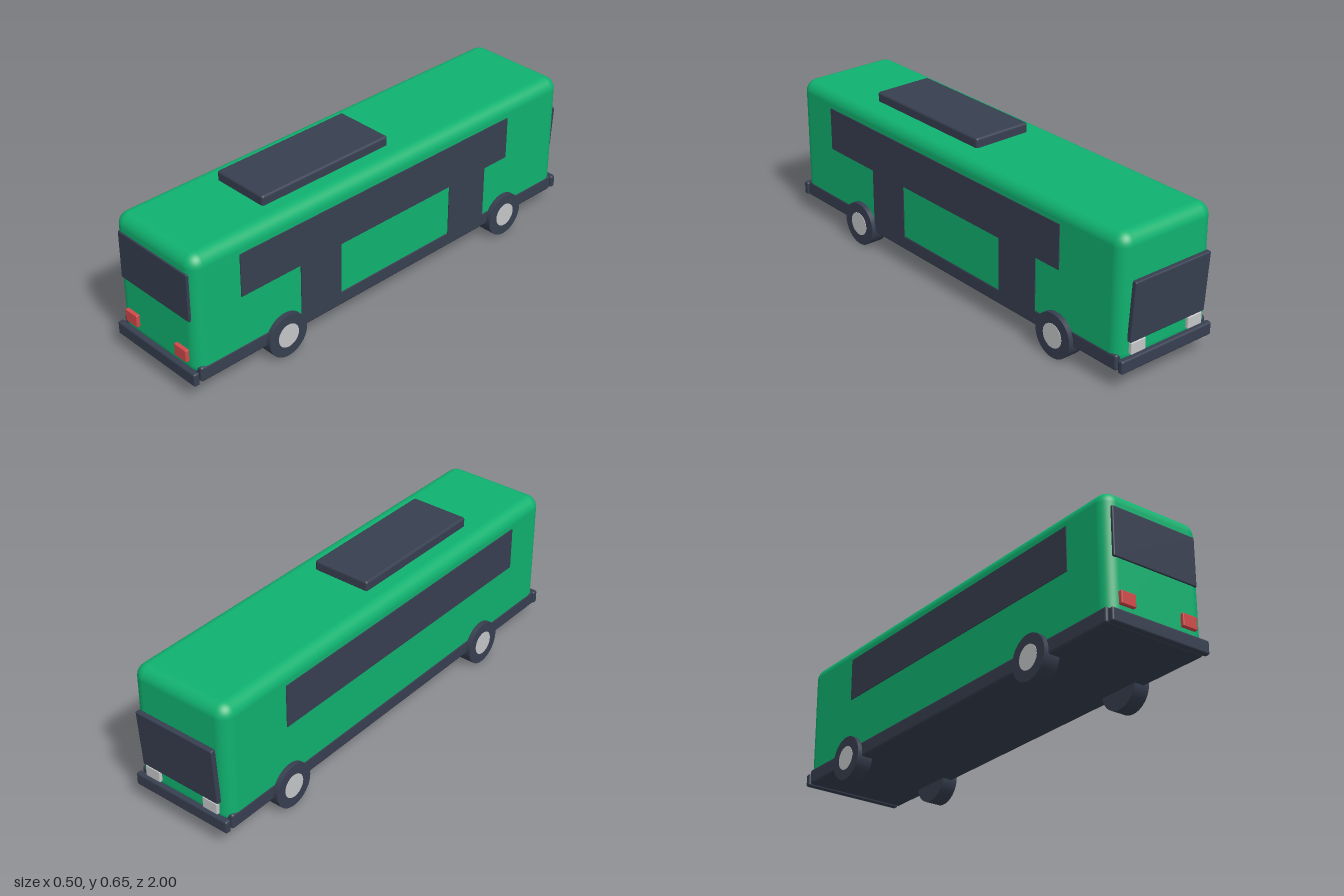
import * as THREE from 'three';
import { RoundedBoxGeometry } from 'three/addons/geometries/RoundedBoxGeometry.js';

const paint = (name, color) => {
  const m = new THREE.MeshStandardMaterial({ color });
  m.name = name;
  return m;
};

export function createModel() {
  const green = paint('body green', 0x10b270);
  const dark = paint('dark slate', 0x373f50);
  const red = paint('lamp red', 0xd04a4a);
  const silver = paint('silver', 0xc4c6c8);

  const bus = new THREE.Group();
  bus.name = 'bus';

  const add = (name, geometry, material, parent = bus) => {
    const mesh = new THREE.Mesh(geometry, material);
    mesh.name = name;
    parent.add(mesh);
    return mesh;
  };

  // Box given by its min and max corners, with rounded edges if radius > 0
  const block = (name, material, [x0, y0, z0], [x1, y1, z1], radius = 0, segments = 3) => {
    const size = [x1 - x0, y1 - y0, z1 - z0];
    const geometry = radius
      ? new RoundedBoxGeometry(...size, segments, radius)
      : new THREE.BoxGeometry(...size);
    const mesh = add(name, geometry, material);
    mesh.position.set((x0 + x1) / 2, (y0 + y1) / 2, (z0 + z1) / 2);
    return mesh;
  };

  // Body shell, lower skirt and roof unit
  block('body', green, [-0.226, 0.088, -0.967], [0.226, 0.612, 0.98], 0.052, 6);
  block('skirt', dark, [-0.228, 0.077, -0.953], [0.228, 0.142, 0.967], 0.01);
  block('roofUnit', dark, [-0.128, 0.59, -0.065], [0.128, 0.652, 0.57], 0.01);

  // Bumpers
  block('frontBumper', dark, [-0.227, 0.072, 0.974], [0.227, 0.128, 1.0], 0.008);
  block('rearBumper', dark, [-0.227, 0.076, -0.986], [0.227, 0.13, -0.96], 0.008);

  // Front window, and the tilted rear one
  block('frontWindow', dark, [-0.197, 0.338, 0.97], [0.197, 0.542, 0.985], 0.005);
  const rearWindow = block('rearWindow', dark, [-0.187, 0.19, -0.991], [0.187, 0.44, -0.969], 0.006);
  rearWindow.rotation.x = -0.07;

  // Window band on each side
  for (const s of [-1, 1]) {
    const band = block('windowBand', dark, [-0.004, 0.36, -0.647], [0.004, 0.543, 0.767]);
    band.position.x = s * 0.2255;
  }

  // Two doors on the left side only
  for (const [z0, z1] of [[0.277, 0.48], [-0.52, -0.315]]) {
    block('door', dark, [0.2215, 0.1, z0], [0.2295, 0.361, z1]);
  }

  // Lamps at both ends
  for (const s of [-1, 1]) {
    const frontLamp = block('frontLamp', red, [-0.034, 0.155, 0.97], [0.034, 0.208, 0.995], 0.004);
    frontLamp.position.x = s * 0.144;
    const rearLamp = block('rearLamp', silver, [-0.036, 0.138, -0.98], [0.036, 0.187, -0.96], 0.004);
    rearLamp.position.x = s * 0.143;
  }

  // Wheels: tyre with a slightly proud hub
  const tyre = new THREE.CylinderGeometry(0.0925, 0.0925, 0.07, 40).rotateZ(Math.PI / 2);
  const hub = new THREE.CylinderGeometry(0.05, 0.05, 0.02, 32).rotateZ(Math.PI / 2);
  for (const s of [-1, 1]) {
    for (const z of [0.565, -0.64]) {
      const wheel = new THREE.Group();
      wheel.name = 'wheel';
      wheel.position.set(s * 0.2125, 0.0925, z);
      add('tyre', tyre, dark, wheel);
      add('hub', hub, silver, wheel).position.x = s * 0.0268;
      bus.add(wheel);
    }
  }

  return bus;
}
